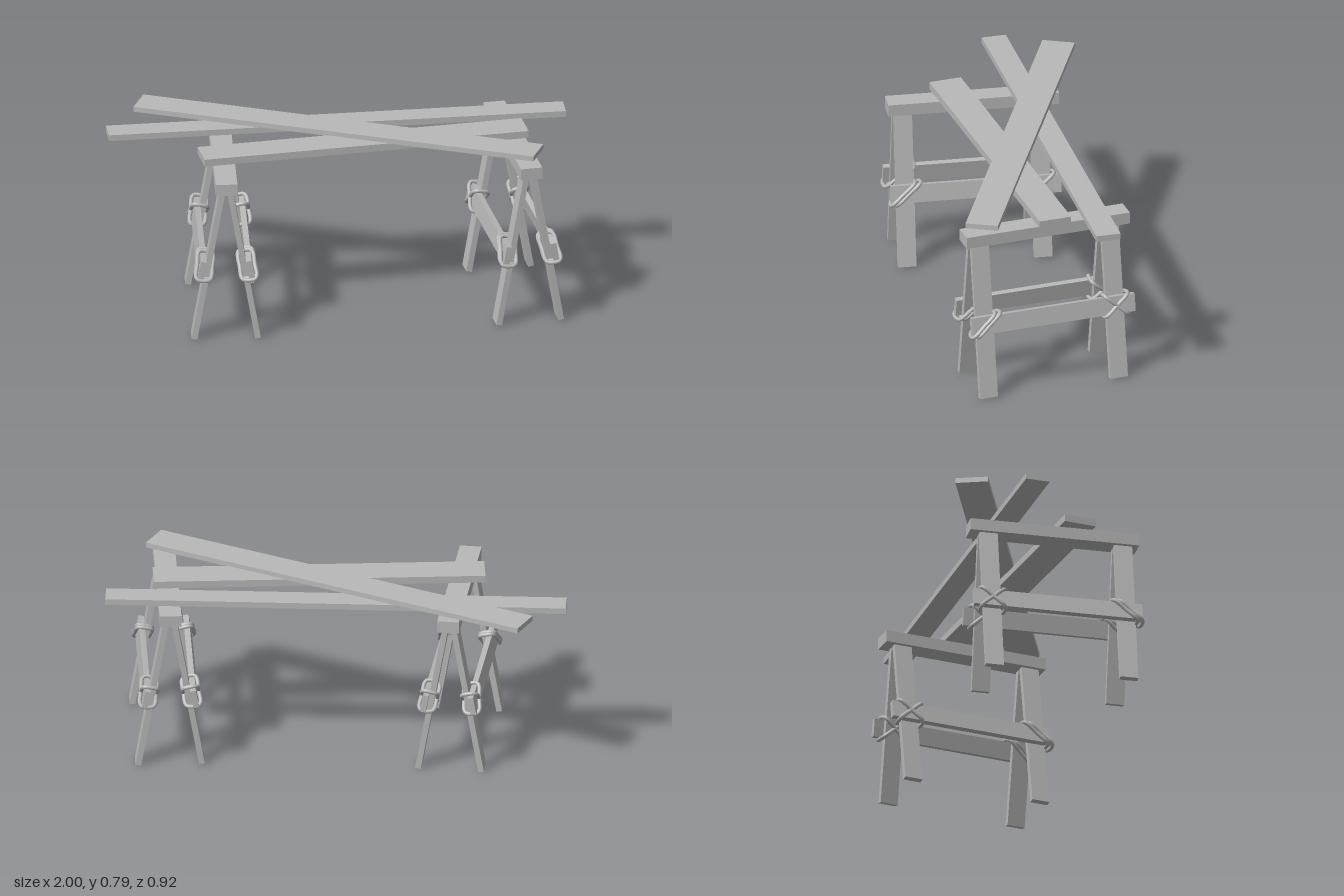
import * as THREE from 'three';

const rad = THREE.MathUtils.degToRad;

export function createModel() {
  const wood = new THREE.MeshStandardMaterial({ color: 0xb8b8b8 });
  wood.name = 'plain grey';

  const model = new THREE.Group();
  model.name = 'trestleTable';

  function add(parent, name, geometry, x, y, z) {
    const mesh = new THREE.Mesh(geometry, wood);
    mesh.name = name;
    mesh.position.set(x, y, z);
    parent.add(mesh);
    return mesh;
  }

  // Closed rope loop around a leg and rail; x is outward, z runs along the diagonal
  const loop = [
    [0.046, -0.058], [0.046, 0], [0.046, 0.058], [0.034, 0.072],
    [-0.012, 0.066], [-0.0205, 0.052], [-0.0205, 0], [-0.0205, -0.052],
    [-0.012, -0.066], [0.034, -0.072],
  ].map(([x, z]) => new THREE.Vector3(x, 0, z));
  const ropeGeometry = new THREE.TubeGeometry(
    new THREE.CatmullRomCurve3(loop, true, 'centripetal'), 48, 0.009, 8, true);

  const LEAN = rad(10);
  const RAIL_Y = 0.336;
  const legGeometry = new THREE.BoxGeometry(0.025, 0.71, 0.08);
  const railGeometry = new THREE.BoxGeometry(0.025, 0.08, 0.75);
  const beamGeometry = new THREE.BoxGeometry(0.095, 0.053, 0.75);

  // Two legs, a rail and the lashings, all leaning inwards together
  function buildSide(side) {
    const turned = new THREE.Group();
    turned.name = side > 0 ? 'leftSide' : 'rightSide';
    turned.rotation.y = side > 0 ? 0 : Math.PI;
    const frame = new THREE.Group();
    frame.name = 'leaningFrame';
    frame.position.set(0.138, 0.002, 0);
    frame.rotation.z = LEAN;
    turned.add(frame);

    add(frame, 'rail', railGeometry, 0.025, RAIL_Y, 0);
    for (const [end, z] of [['front', 0.308], ['back', -0.29]]) {
      add(frame, end + 'Leg', legGeometry, 0, 0.355, z * side);
      // Parallel turns at the front, crossed turns at the back
      const turns = end === 'front' ? [[1, 0.012], [1, -0.012]] : [[1, 0], [-1, 0]];
      for (const [lean, shift] of turns) {
        const rope = add(frame, end + 'Lashing', ropeGeometry, 0, RAIL_Y, z * side + shift);
        rope.rotation.x = rad(42) * lean * side;
      }
    }
    return turned;
  }

  // Trestles, splayed slightly towards the front
  for (const [name, x, turn] of [['rightTrestle', -0.526, -5], ['leftTrestle', 0.744, 5]]) {
    const trestle = new THREE.Group();
    trestle.name = name;
    trestle.position.set(x, 0, 0.075);
    trestle.rotation.y = rad(turn);
    add(trestle, 'topBeam', beamGeometry, 0, 0.7145, 0);
    trestle.add(buildSide(1), buildSide(-1));
    model.add(trestle);
  }

  // Loose planks: length, thickness, width, centre, turn
  const planks = [
    ['backPlank', 2, 0.027, 0.108, 0, 0.7545, -0.145, 0],
    ['middlePlank', 1.44, 0.032, 0.145, 0.085, 0.757, 0.105, 5],
    ['diagonalPlank', 1.818, 0.023, 0.143, -0.008, 0.782, -0.008, -25],
  ];
  for (const [name, length, thick, width, x, y, z, turn] of planks) {
    add(model, name, new THREE.BoxGeometry(length, thick, width), x, y, z).rotation.y = rad(turn);
  }

  return model;
}
